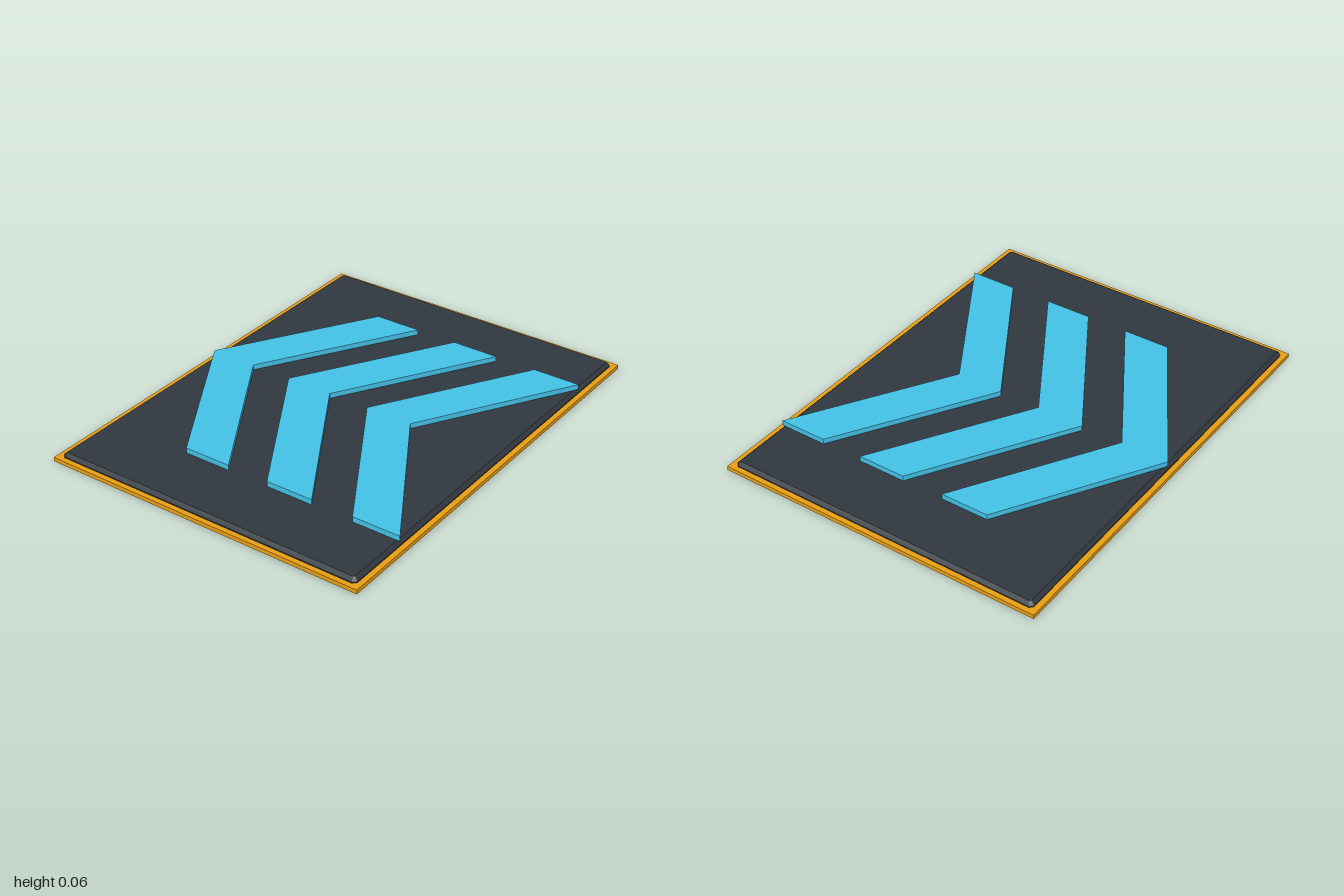
import * as THREE from 'three';

// Closed outline from [x, z] points
function outline(points) {
  return new THREE.Shape(points.map(([x, z]) => new THREE.Vector2(x, -z)));
}

// Extrude an outline upward from height y
function slab(name, shape, y, options, material) {
  const geometry = new THREE.ExtrudeGeometry(shape, options);
  geometry.rotateX(-Math.PI / 2);
  const mesh = new THREE.Mesh(geometry, material);
  mesh.name = name;
  mesh.position.y = y;
  return mesh;
}

export function createModel() {
  const amber = new THREE.MeshStandardMaterial({ color: 0xe89f14 });
  amber.name = 'amber';
  const charcoal = new THREE.MeshStandardMaterial({ color: 0x30373e });
  charcoal.name = 'charcoal';
  const blue = new THREE.MeshStandardMaterial({ color: 0x43c0e5 });
  blue.name = 'blue';

  const group = new THREE.Group();
  group.name = 'boostPad';

  // Thin rectangular plate that rims the panel
  const base = new THREE.Mesh(new THREE.BoxGeometry(2, 0.019, 1.512), amber);
  base.name = 'basePlate';
  base.position.y = 0.0105;
  group.add(base);

  // Dark panel set through the plate, with clipped corners and chamfered edges
  const w = 0.962, d = 0.717, c = 0.006, bevel = 0.015;
  const panel = outline([
    [-w + c, d], [w - c, d], [w, d - c], [w, -d + c],
    [w - c, -d], [-w + c, -d], [-w, -d + c], [-w, d - c],
  ]);
  group.add(slab('panel', panel, bevel, {
    depth: 0.01, bevelEnabled: true, bevelSegments: 1,
    bevelSize: bevel, bevelThickness: bevel,
  }, charcoal));

  // Three raised chevrons pointing to the back
  const halfWidth = 0.683, sweep = 0.412, band = 0.22, spacing = 0.414;
  const chevron = outline([
    [-halfWidth, sweep + band], [0, band], [halfWidth, sweep + band],
    [halfWidth, sweep], [0, 0], [-halfWidth, sweep],
  ]);
  for (let i = 0; i < 3; i++) {
    const mesh = slab('chevron' + (i + 1), chevron, 0.04, { depth: 0.024, bevelEnabled: false }, blue);
    mesh.position.z = -0.73 + i * spacing;
    group.add(mesh);
  }
  return group;
}
